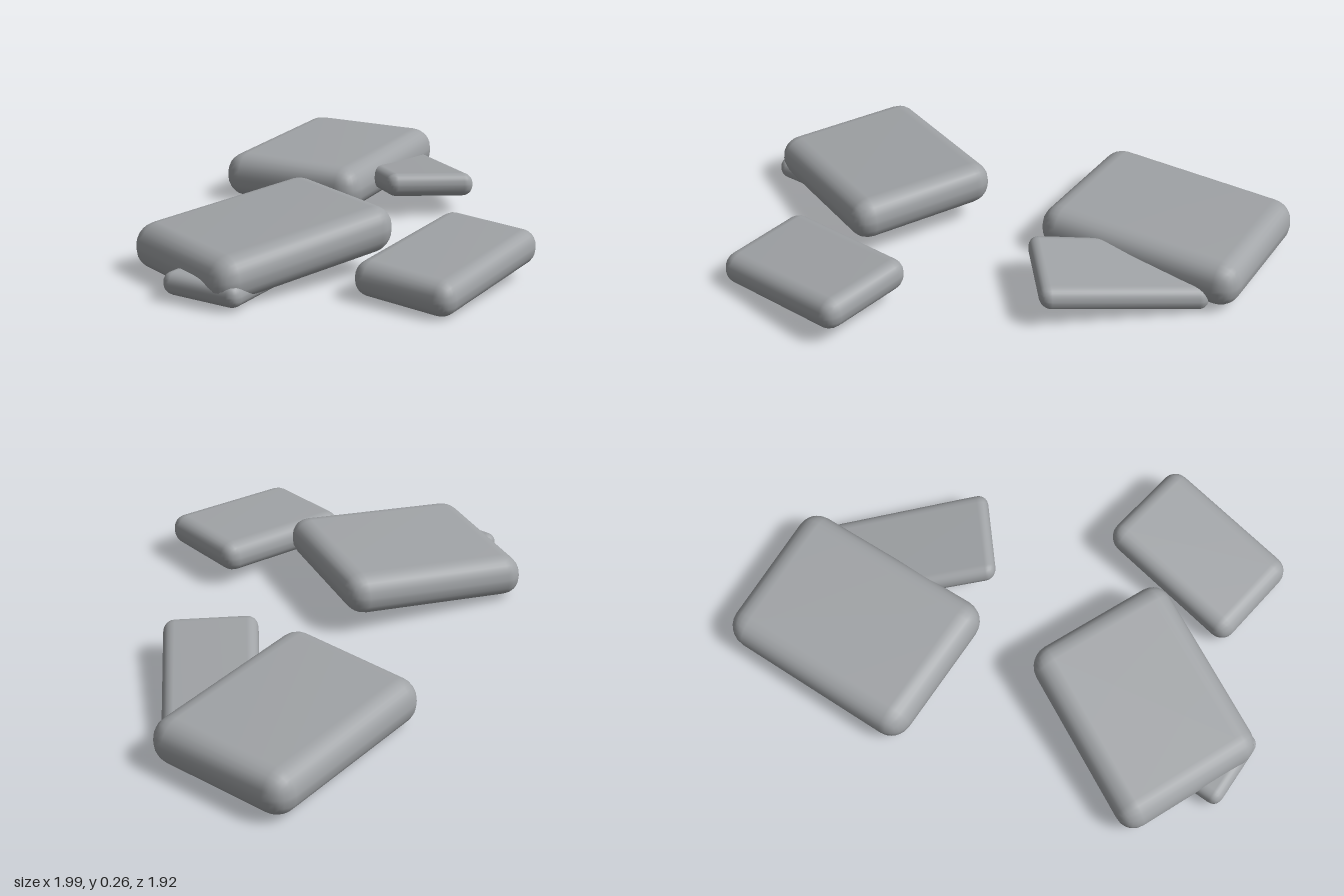
import * as THREE from 'three';
import { RoundedBoxGeometry } from 'three/addons/geometries/RoundedBoxGeometry.js';
import { mergeVertices } from 'three/addons/utils/BufferGeometryUtils.js';

const stone = new THREE.MeshStandardMaterial({ color: 0xa0a3a6 });
stone.name = 'grey stone';

// Rounded slab stretched between four mid-plane corners [x, y, z],
// given clockwise from above: back left, back right, front right, front left.
function slab(name, thickness, corners) {
  const [a, b, c, d] = corners.map((p) => new THREE.Vector3(...p));
  const w = (a.distanceTo(b) + d.distanceTo(c)) / 2;
  const l = (a.distanceTo(d) + b.distanceTo(c)) / 2;
  let geo = new RoundedBoxGeometry(w, thickness, l, 3, thickness * 0.46);
  geo.deleteAttribute('normal');
  geo.deleteAttribute('uv');
  geo.clearGroups();
  geo = mergeVertices(geo, 1e-5);

  const pos = geo.attributes.position;
  const back = new THREE.Vector3();
  const front = new THREE.Vector3();
  for (let i = 0; i < pos.count; i++) {
    const u = pos.getX(i) / w + 0.5;
    const v = pos.getZ(i) / l + 0.5;
    const h = pos.getY(i);
    back.lerpVectors(a, b, u);
    front.lerpVectors(d, c, u);
    back.lerp(front, v);
    pos.setXYZ(i, back.x, back.y + h, back.z);
  }
  geo.computeVertexNormals();
  const mesh = new THREE.Mesh(geo, stone);
  mesh.name = name;
  return mesh;
}

export function createModel() {
  const group = new THREE.Group();
  group.name = 'scatteredStoneSlabs';
  group.add(
    // Large flat slab at the back
    slab('largeBackSlab', 0.19, [
      [0.0, 0.11, -0.74], [0.81, 0.117, -0.985], [1.01, 0.115, -0.385], [0.18, 0.112, -0.12],
    ]),
    // Small slab leaning against the back one
    slab('leaningSlab', 0.1, [
      [0.27, 0.16, 0.0], [0.6, 0.075, -0.52], [0.93, 0.055, -0.37], [0.585, 0.14, 0.21],
    ]),
    // Large slab tilted up towards the centre
    slab('largeTiltedSlab', 0.18, [
      [-0.87, 0.105, -0.29], [-0.085, 0.19, -0.14], [-0.18, 0.19, 0.485], [-0.96, 0.105, 0.34],
    ]),
    // Small stone propping the tilted slab
    slab('proppingSlab', 0.09, [
      [-1.01, 0.075, 0.06], [-0.58, 0.055, -0.04], [-0.48, 0.055, 0.25], [-0.92, 0.065, 0.375],
    ]),
    // Medium slab at the front
    slab('frontSlab', 0.135, [
      [-0.52, 0.085, 0.54], [0.12, 0.145, 0.465], [0.17, 0.135, 0.885], [-0.46, 0.072, 0.965],
    ]),
  );
  return group;
}
